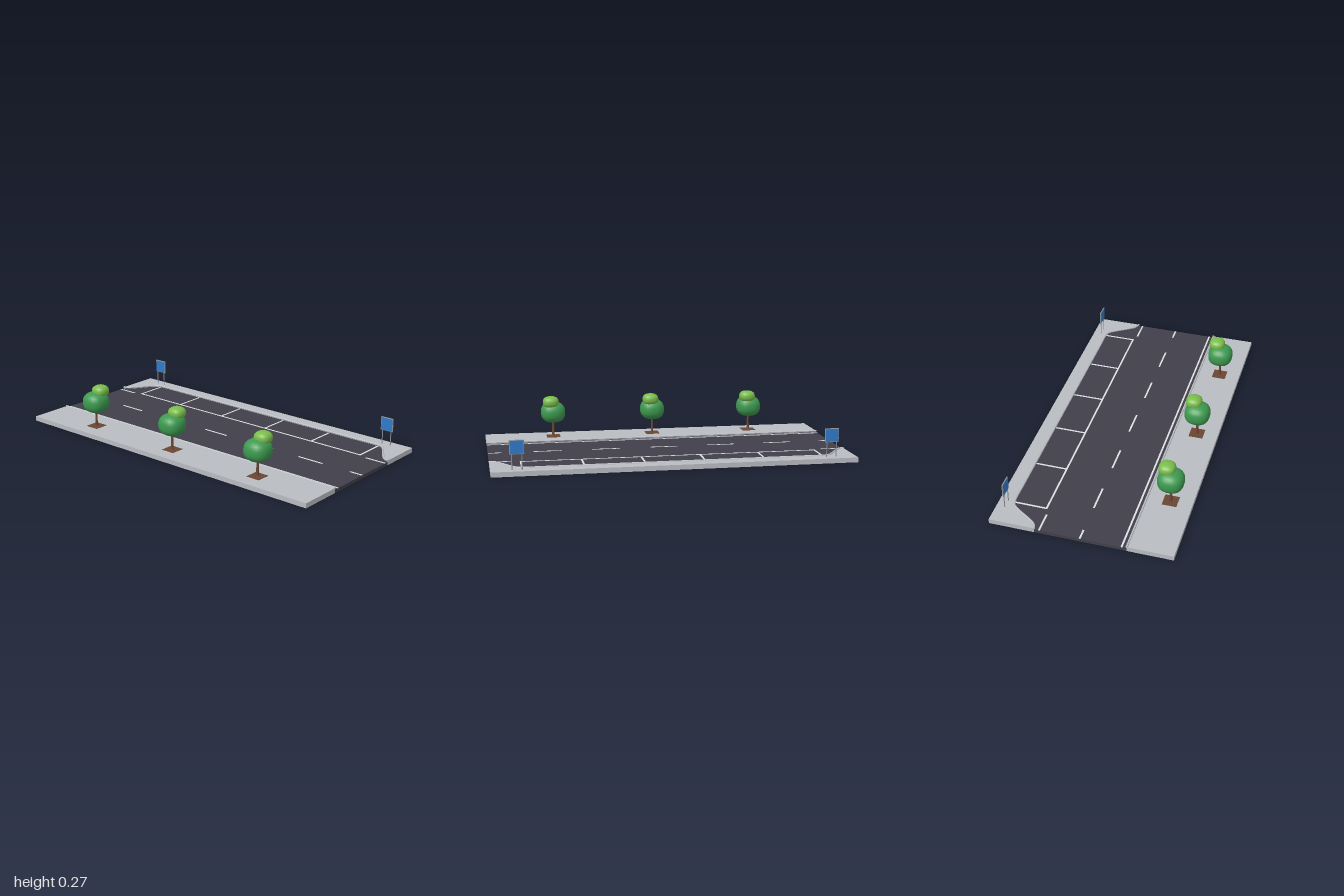
import * as THREE from 'three';
import { RoundedBoxGeometry } from 'three/addons/geometries/RoundedBoxGeometry.js';

const mat = (name, color) => {
  const m = new THREE.MeshStandardMaterial({ color });
  m.name = name;
  return m;
};

export function createModel() {
  const root = new THREE.Group();
  root.name = 'streetSection';
  const paving = mat('paving grey', 0xb9bcc2);
  const asphalt = mat('asphalt', 0x41404a);
  const paint = mat('road paint', 0xdcdee2);
  const bark = mat('bark brown', 0x6b4632);
  const leaf = mat('leaf green', 0x3d9a50);
  const lightLeaf = mat('light leaf green', 0x7abd4c);
  const metal = mat('metal grey', 0x8f9296);
  const blue = mat('sign blue', 0x2f7bcb);

  const ROAD = 0.019, WALK = 0.027;
  const add = (parent, name, geo, m, x = 0, y = 0, z = 0) => {
    const mesh = new THREE.Mesh(geo, m);
    mesh.name = name;
    mesh.position.set(x, y, z);
    parent.add(mesh);
    return mesh;
  };

  // Right kerb line, widening into the parking bay
  const half = [[0.248, 1], [0.262, 0.968], [0.3, 0.938], [0.38, 0.885], [0.411, 0.856], [0.42, 0.81], [0.42, 0.7], [0.42, 0.3]];
  const line = [...half, ...half.map(([x, z]) => [x, -z]).reverse()];
  const rightEdge = new THREE.CatmullRomCurve3(line.map(([x, z]) => new THREE.Vector3(x, WALK, z)));
  const edge = rightEdge.getSpacedPoints(140).map(p => new THREE.Vector2(p.x, -p.z));

  // Flat slab from a plan outline
  const slab = (name, pts, height, m) => {
    const geo = new THREE.ExtrudeGeometry(new THREE.Shape(pts), { depth: height, bevelEnabled: false });
    geo.rotateX(-Math.PI / 2);
    return add(root, name, geo, m);
  };
  const v = (x, y) => new THREE.Vector2(x, y);
  slab('road', [v(-0.25, 1), v(-0.25, -1), ...edge], ROAD, asphalt);
  slab('rightPavement', [...edge, v(0.5, 1), v(0.5, -1)], WALK, paving);
  slab('leftPavement', [v(-0.5, -1), v(-0.25, -1), v(-0.25, 1), v(-0.5, 1)], WALK, paving);

  // Rounded kerbs
  const section = new THREE.Shape();
  section.absarc(0, 0, 0.006, 0, Math.PI * 2);
  const kerb = (name, path, steps) => add(root, name,
    new THREE.ExtrudeGeometry(section, { steps, extrudePath: path, curveSegments: 6 }), paving);
  kerb('rightKerb', rightEdge, 140);
  kerb('leftKerb', new THREE.LineCurve3(new THREE.Vector3(-0.251, WALK, 1), new THREE.Vector3(-0.251, WALK, -1)), 1);

  // Painted markings, given by their plan extents
  const stripe = (name, x0, x1, z0, z1) => add(root, name,
    new THREE.BoxGeometry(x1 - x0, 0.002, z1 - z0), paint, (x0 + x1) / 2, ROAD + 0.0005, (z0 + z1) / 2);
  stripe('edgeLine', -0.229, -0.219, -1, 1);
  for (let i = -3; i <= 3; i++) {
    const z = i * 0.336 - 0.005;
    stripe('centreDash', -0.005, 0.005, Math.max(-1, z - 0.08), Math.min(1, z + 0.08));
  }
  stripe('laneDash', 0.217, 0.227, -1, -0.875);
  stripe('laneDash', 0.217, 0.227, 0.875, 1);
  stripe('bayLine', 0.234, 0.244, -0.835, 0.835);
  for (let i = 0; i < 6; i++) {
    const z = -0.83 + i * 0.332;
    stripe('bayDivider', 0.24, 0.415, z - 0.005, z + 0.005);
  }

  // Boxy foliage: a sphere swollen towards a cube
  const foliage = (rx, ry, rz) => {
    const geo = new THREE.SphereGeometry(1, 24, 16);
    const p = geo.attributes.position, q = new THREE.Vector3();
    for (let i = 0; i < p.count; i++) {
      q.fromBufferAttribute(p, i);
      const n = 2.5;
      const r = Math.pow(Math.abs(q.x) ** n + Math.abs(q.y) ** n + Math.abs(q.z) ** n, -1 / n);
      p.setXYZ(i, q.x * r * rx, q.y * r * ry, q.z * r * rz);
    }
    geo.computeVertexNormals();
    return geo;
  };
  const crownGeo = foliage(0.072, 0.061, 0.072);
  const tuftGeo = foliage(0.046, 0.034, 0.047);
  const trunkGeo = new THREE.LatheGeometry(
    [[0.011, 0], [0.0075, 0.012], [0.0065, 0.05], [0.006, 0.11]].map(([r, y]) => v(r, y)), 10);

  for (const z of [-0.6, 0, 0.6]) {
    const tree = new THREE.Group();
    tree.name = 'tree';
    tree.position.set(-0.38, WALK, z);
    root.add(tree);
    add(tree, 'soilPatch', new THREE.BoxGeometry(0.08, 0.003, 0.08), bark, 0, 0.0005, 0);
    add(tree, 'trunk', trunkGeo, bark);
    add(tree, 'crown', crownGeo, leaf, 0.002, 0.147, 0);
    add(tree, 'upperCrown', tuftGeo, lightLeaf, 0.027, 0.212, 0.014);
  }

  // Parking signs on twin posts, blue on both faces
  for (const z of [-0.86, 0.86]) {
    const sign = new THREE.Group();
    sign.name = 'parkingSign';
    sign.position.set(0.453, WALK, z);
    root.add(sign);
    for (const s of [-1, 1]) {
      add(sign, 'post', new THREE.CylinderGeometry(0.0028, 0.0028, 0.15, 8), metal, 0, 0.075, s * 0.027);
      add(sign, 'signFace', new THREE.BoxGeometry(0.002, 0.07, 0.07), blue, s * 0.0036, 0.12, 0);
    }
    add(sign, 'signPanel', new RoundedBoxGeometry(0.007, 0.079, 0.079, 2, 0.003), metal, 0, 0.12, 0);
  }
  return root;
}
